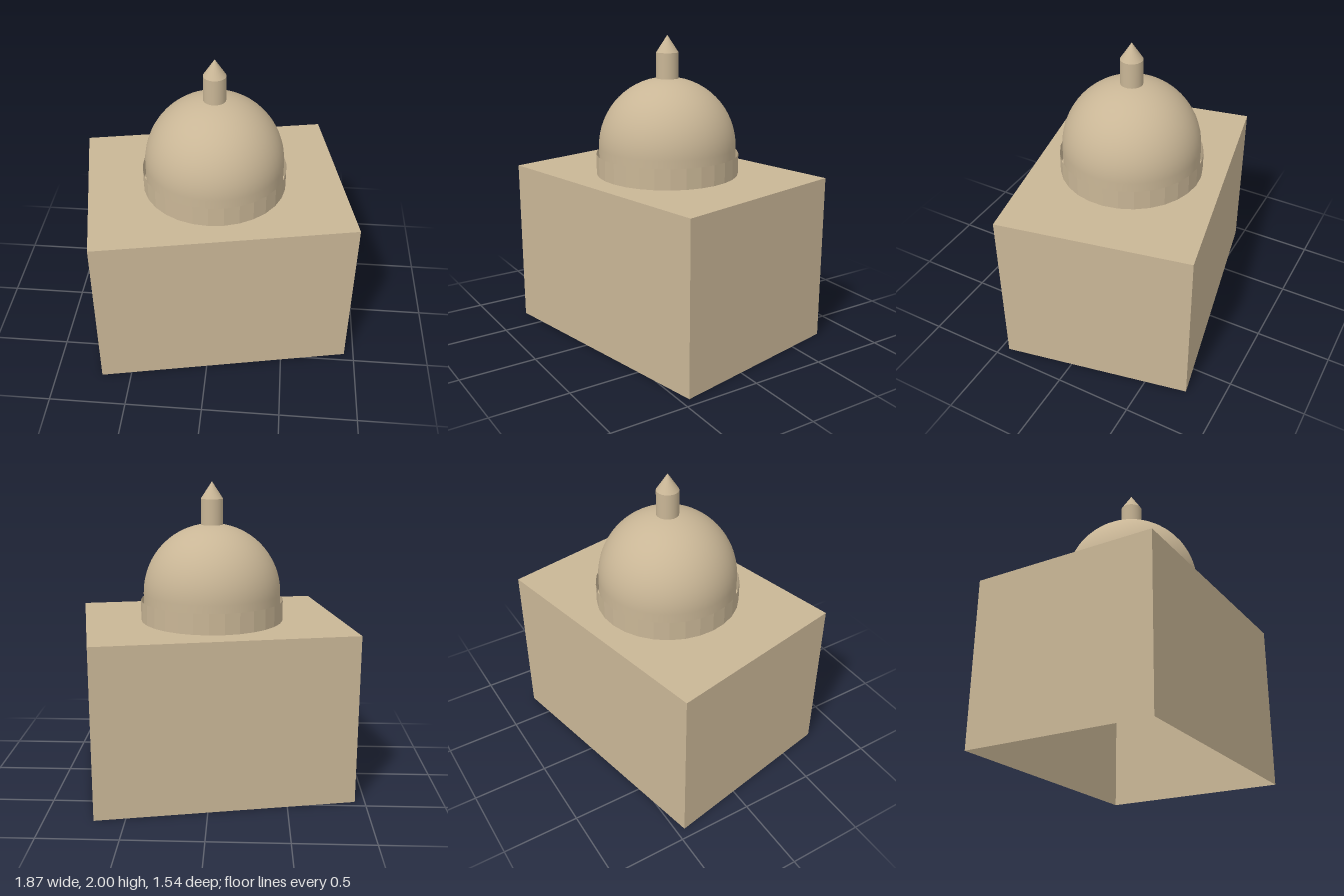
import * as THREE from 'three';

export function createModel() {
  const model = new THREE.Group();
  const stone = new THREE.MeshStandardMaterial({ color: 0xc9b696, side: THREE.DoubleSide });
  stone.name = 'sandstone';

  const add = (name, geometry, y) => {
    const mesh = new THREE.Mesh(geometry, stone);
    mesh.name = name;
    mesh.position.y = y;
    model.add(mesh);
    return mesh;
  };

  // Hall: a turned box, hollow and open underneath
  const hall = new THREE.BoxGeometry(1.662, 1.1, 1.24);
  const index = Array.from(hall.index.array);
  index.splice(18, 6); // drop the bottom face
  hall.setIndex(index);
  hall.clearGroups();
  add('hall', hall, 0.55).rotation.y = 0.197;

  // Drum: faceted open ring around the foot of the dome
  const drum = new THREE.CylinderGeometry(0.469, 0.469, 0.134, 30, 1, true).toNonIndexed();
  drum.computeVertexNormals();
  add('drum', drum, 1.167);

  // Dome: short upright foot, then a hemisphere
  const radius = 0.45;
  const profile = [new THREE.Vector2(radius, 0)];
  for (let i = 0; i <= 16; i++) {
    const a = (i / 16) * Math.PI / 2;
    profile.push(new THREE.Vector2(radius * Math.cos(a), 0.18 + radius * Math.sin(a)));
  }
  add('dome', new THREE.LatheGeometry(profile, 48), 1.1);

  // Finial: slim post with a pointed cap
  add('finialPost', new THREE.CylinderGeometry(0.072, 0.072, 0.19, 24, 1, true), 1.795);
  add('finialTip', new THREE.ConeGeometry(0.072, 0.11, 24, 1, true), 1.945);

  return model;
}
